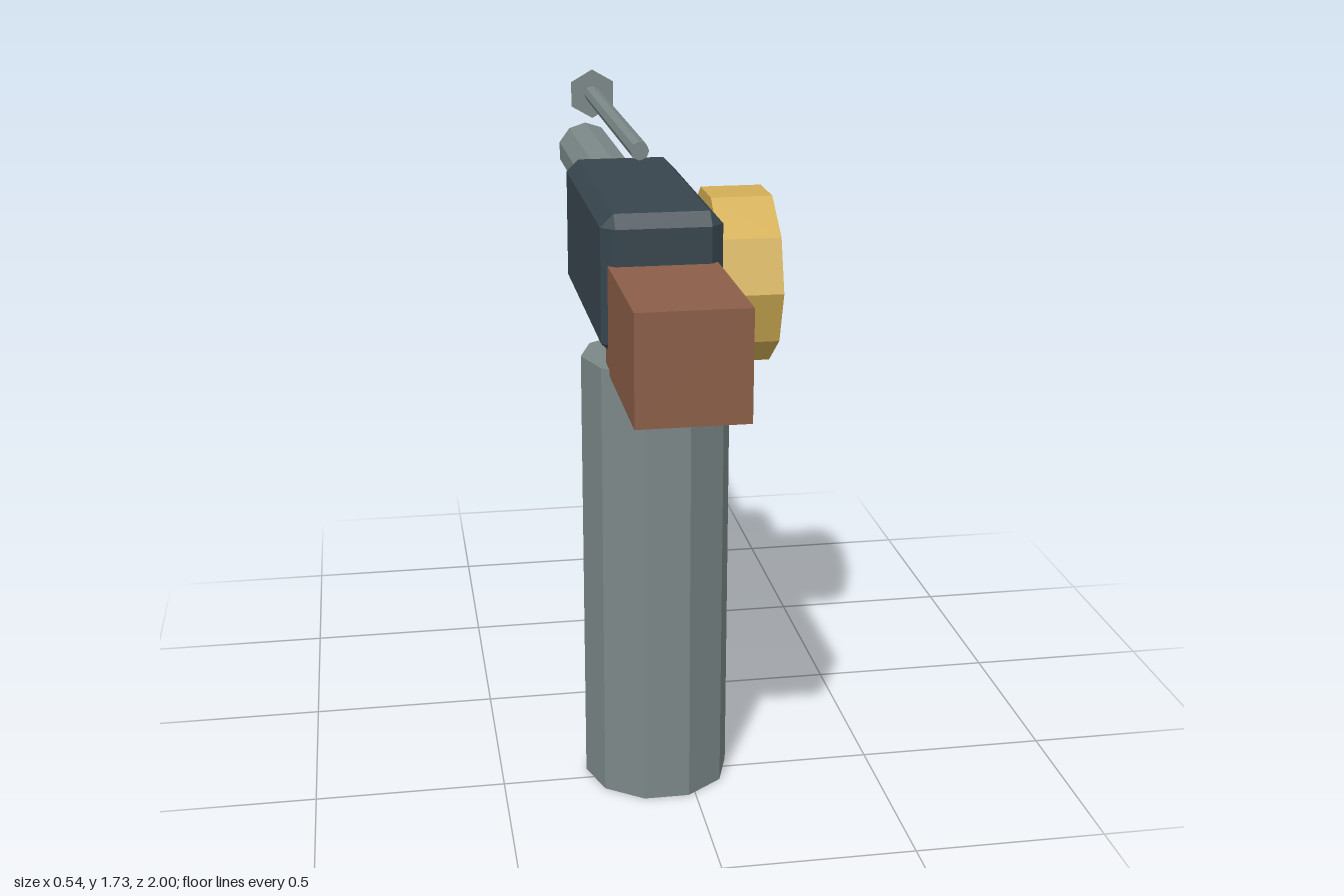
import * as THREE from 'three';
import { ConvexGeometry } from 'three/addons/geometries/ConvexGeometry.js';

const CX = -0.078; // shared centre line of everything but the side disc

function material(name, color) {
  const m = new THREE.MeshStandardMaterial({ color, flatShading: true });
  m.name = name;
  return m;
}

// Box with every edge cut flat: three points near each corner
function chamferedBox(w, h, d, c) {
  const points = [];
  for (const x of [-1, 1]) for (const y of [-1, 1]) for (const z of [-1, 1]) {
    for (let axis = 0; axis < 3; axis++) {
      const inset = [c, c, c];
      inset[axis] = 0;
      points.push(new THREE.Vector3(x * (w / 2 - inset[0]), y * (h / 2 - inset[1]), z * (d / 2 - inset[2])));
    }
  }
  return new ConvexGeometry(points);
}

export function createModel() {
  const group = new THREE.Group();
  const steel = material('steel grey', 0x7b8787);
  const dark = material('dark slate', 0x37454d);
  const wood = material('brown', 0x8b5e48);
  const gold = material('gold', 0xd2ae55);

  function add(name, geometry, mat, x, y, z) {
    const mesh = new THREE.Mesh(geometry, mat);
    mesh.name = name;
    mesh.position.set(x, y, z);
    group.add(mesh);
  }

  // Upright ten-sided handle
  add('handle', new THREE.CylinderGeometry(0.193, 0.193, 1.18, 10).rotateY(Math.PI / 2), steel, CX, 0.59, 0.453);

  // Main body with the lever plate below it
  add('body', chamferedBox(0.306, 0.36, 0.78, 0.033), dark, CX, 1.385, 0.19);
  add('lever', new THREE.BoxGeometry(0.17, 0.3, 0.158), dark, CX, 1.08, 0.341);

  // Block at the front end
  add('endBlock', new THREE.BoxGeometry(0.275, 0.275, 0.48), wood, CX, 1.302, 0.76);

  // Tube pointing to the back
  add('barrel', new THREE.CylinderGeometry(0.088, 0.088, 0.875, 10).rotateX(Math.PI / 2), steel, CX, 1.442, -0.5375);

  // Round drum at the side
  add('sideDrum', new THREE.CylinderGeometry(0.237, 0.237, 0.165, 10).rotateZ(Math.PI / 2), gold, 0.186, 1.304, 0.158);

  // Pointed rod above the body
  add('rod', new THREE.CylinderGeometry(0.025, 0.025, 0.98, 8).rotateX(Math.PI / 2), steel, CX, 1.65, -0.3);
  add('rodTip', new THREE.ConeGeometry(0.075, 0.21, 6).rotateX(-Math.PI / 2), steel, CX, 1.65, -0.895);

  return group;
}
